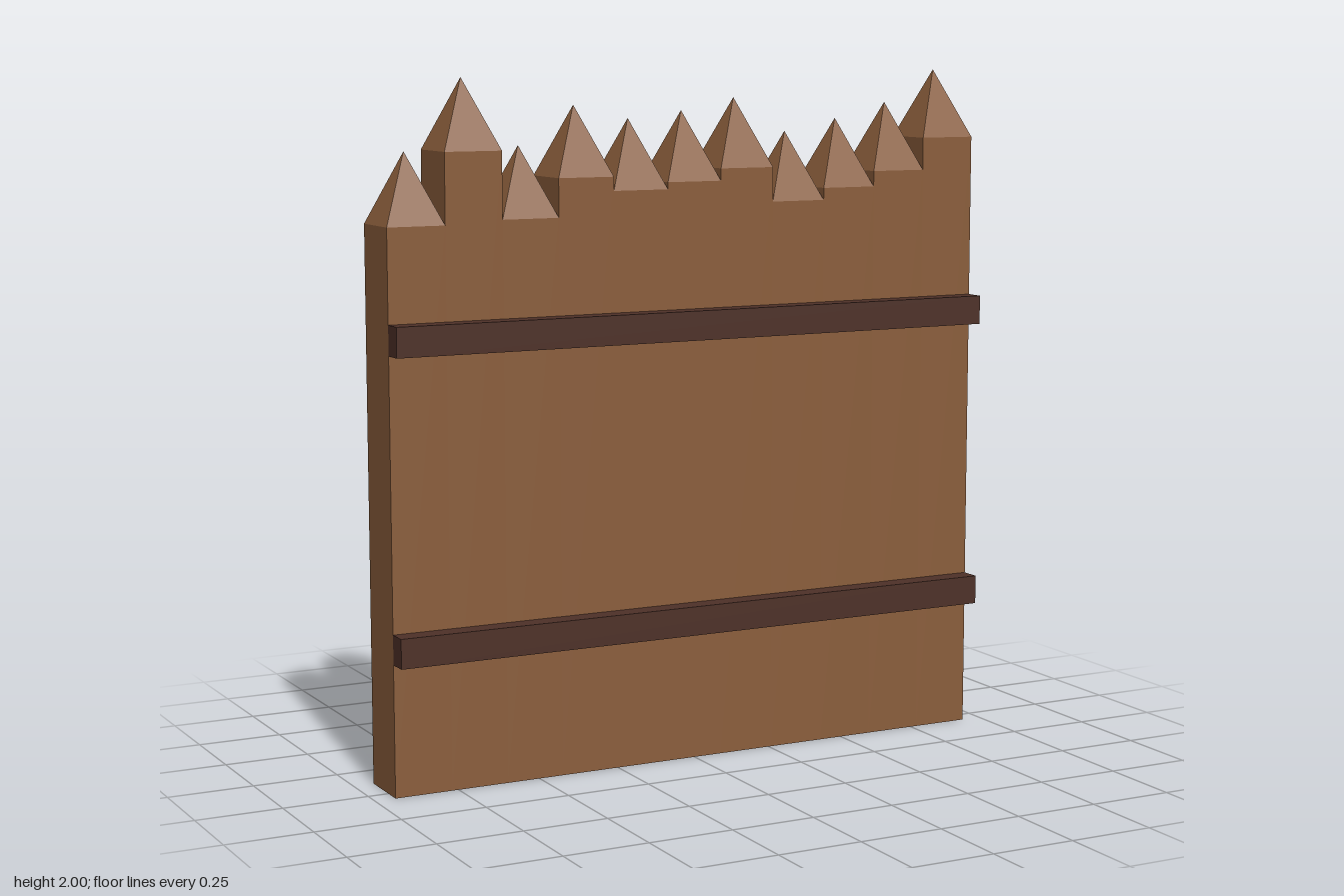
import * as THREE from 'three';

export function createModel() {
  const fence = new THREE.Group();
  fence.name = 'palisadeWall';
  const wood = new THREE.MeshStandardMaterial({ color: 0x8b5e3c, flatShading: true });
  wood.name = 'plank brown';
  const darkWood = new THREE.MeshStandardMaterial({ color: 0x4e3128, flatShading: true });
  darkWood.name = 'rail dark brown';

  const width = 1.88, depth = 0.17, plankZ = -0.03, pointHeight = 0.2;
  const tipHeights = [1.79, 1.99, 1.8, 1.91, 1.87, 1.89, 1.925, 1.825, 1.86, 1.905, 2];
  const plankWidth = width / tipHeights.length;

  // Four-sided point shared by all stakes, base resting on y = 0
  const point = new THREE.ConeGeometry(Math.SQRT1_2, pointHeight, 4, 1, true);
  point.rotateY(Math.PI / 4).scale(plankWidth, 1, depth).translate(0, pointHeight / 2, 0);

  // Row of touching square stakes with uneven heights
  tipHeights.forEach((tip, i) => {
    const bodyHeight = tip - pointHeight;
    const stake = new THREE.Group();
    stake.name = `stake${i + 1}`;
    stake.position.set(-width / 2 + (i + 0.5) * plankWidth, 0, plankZ);

    const body = new THREE.Mesh(new THREE.BoxGeometry(plankWidth, bodyHeight, depth), wood);
    body.name = 'stakeBody';
    body.position.y = bodyHeight / 2;

    const spike = new THREE.Mesh(point, wood);
    spike.name = 'stakePoint';
    spike.position.y = bodyHeight;

    stake.add(body, spike);
    fence.add(stake);
  });

  // Two rails across the front
  const railGeometry = new THREE.BoxGeometry(width, 0.085, 0.06);
  for (const [name, y] of [['lowerRail', 0.4225], ['upperRail', 1.2825]]) {
    const rail = new THREE.Mesh(railGeometry, darkWood);
    rail.name = name;
    rail.position.set(0, y, 0.085);
    fence.add(rail);
  }
  return fence;
}
